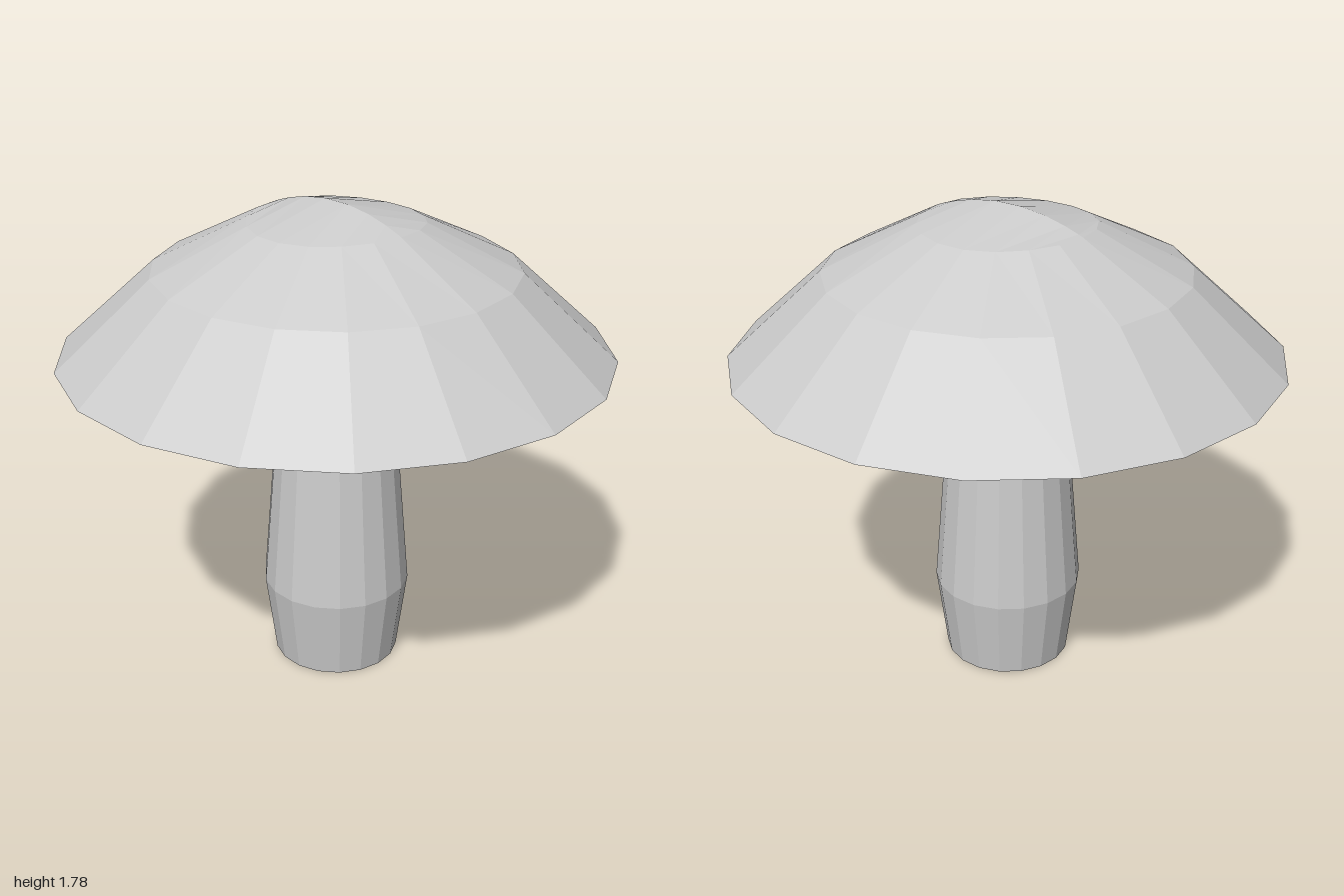
import * as THREE from 'three';

const SIDES = 18;
const RIM_R = 0.315, PEAK_Y = 1.78;

const material = new THREE.MeshStandardMaterial({ color: 0xcccccc, flatShading: true });

// The crown's rim lies slightly higher towards its two x ends
const rimHeight = (x) => 1.705 + 0.013 * (x / RIM_R) ** 2;

// Faceted solid of revolution from [radius, height] pairs, bottom to top, with a corner on the x axis
function turned(name, profile) {
  const points = profile.map(([r, y]) => new THREE.Vector2(r, y));
  const mesh = new THREE.Mesh(new THREE.LatheGeometry(points, SIDES, Math.PI / 2), material);
  mesh.name = name;
  return mesh;
}

// Crown: two sloping halves that rise from the rim to an arched ridge along x
function crownGeometry() {
  const positions = [];
  const angle = (i) => (i / SIDES) * Math.PI * 2;
  const rim = (i, side) => {
    const x = RIM_R * Math.cos(angle(i));
    return [x, rimHeight(x), side * RIM_R * Math.sin(angle(i))];
  };
  const ridge = (i) => {
    const end = rimHeight(RIM_R);
    return [RIM_R * Math.cos(angle(i)), end + (PEAK_Y - end) * Math.sin(angle(i)) ** 2, 0];
  };
  for (const side of [1, -1]) {
    for (let i = 0; i < SIDES / 2; i++) {
      const a = rim(i, side), b = rim(i + 1, side), c = ridge(i + 1), d = ridge(i);
      const triangles = side > 0 ? [a, d, c, a, c, b] : [a, c, d, a, b, c];
      positions.push(...triangles.flat());
    }
  }
  const geometry = new THREE.BufferGeometry();
  geometry.setAttribute('position', new THREE.Float32BufferAttribute(positions, 3));
  geometry.computeVertexNormals();
  return geometry;
}

export function createModel() {
  const model = new THREE.Group();
  model.name = 'mushroom';

  // Stem, swelling a little above its base and reaching up into the hollow of the cap
  model.add(turned('stem', [[0, 0], [0.237, 0], [0.277, 0.31], [0.195, 1.3]]));

  // Cap with a shallow hollow underneath
  const cap = new THREE.Group();
  cap.name = 'cap';
  const sides = turned('capSides', [[0.195, 1.3], [1, 1.232], [0.655, 1.545], [RIM_R, 1.71]]);
  const corners = sides.geometry.attributes.position;
  for (let i = 0; i < corners.count; i++) {
    if (corners.getY(i) > 1.7) corners.setY(i, rimHeight(corners.getX(i)));
  }
  cap.add(sides);
  const crown = new THREE.Mesh(crownGeometry(), material);
  crown.name = 'crown';
  cap.add(crown);
  model.add(cap);

  return model;
}
